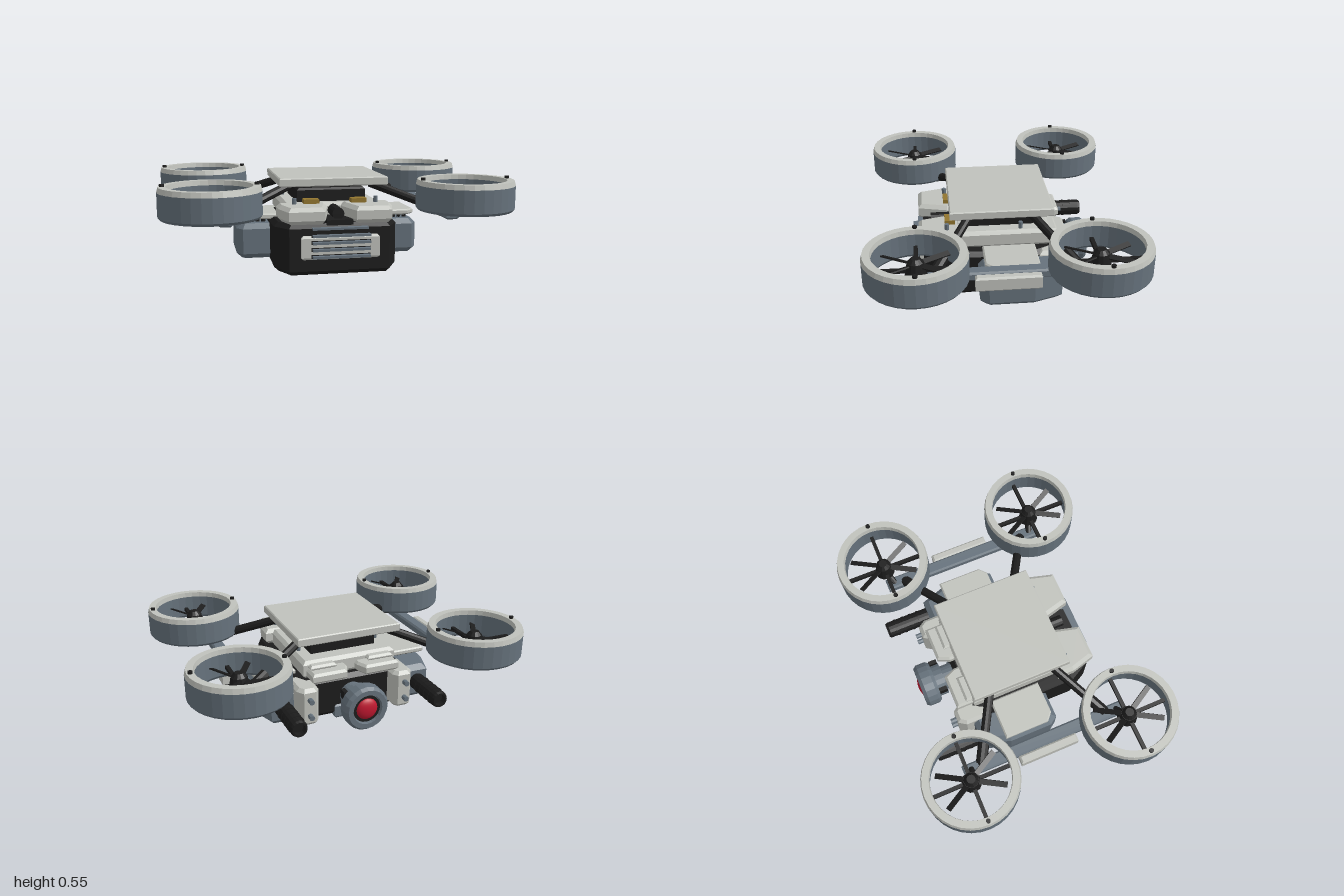
import * as THREE from 'three';

const mat = (name, color) => {
  const m = new THREE.MeshStandardMaterial({ color });
  m.name = name;
  return m;
};

export function createModel() {
  const light = mat('pale grey', 0xc0c2bc), steel = mat('blue grey', 0x66727c);
  const black = mat('black', 0x1c1c1c), brass = mat('brass', 0x93762f), red = mat('red', 0xc01830);
  const model = new THREE.Group();
  model.name = 'quadDrone';

  // faceted mesh from any geometry
  const add = (parent, name, geo, material, x = 0, y = 0, z = 0) => {
    const flat = geo.index ? geo.toNonIndexed() : geo;
    flat.computeVertexNormals();
    const m = new THREE.Mesh(flat, material);
    m.name = name;
    m.position.set(x, y, z);
    parent.add(m);
    return m;
  };
  const box = (w, h, d) => new THREE.BoxGeometry(w, h, d);
  const cyl = (r0, r1, h, n = 16) => new THREE.CylinderGeometry(r0, r1, h, n);
  const cylZ = (r0, r1, h, n) => cyl(r0, r1, h, n).rotateX(Math.PI / 2);

  // plan outline of [x, z] points raised from y0 to y1 with chamfered rims
  const slab = (pts, y0, y1, b) => {
    const shape = new THREE.Shape(pts.map(([x, z]) => new THREE.Vector2(x, -z)));
    return new THREE.ExtrudeGeometry(shape, {
      depth: y1 - y0 - 2 * b, bevelEnabled: b > 0, bevelThickness: b, bevelSize: b, bevelOffset: -b, bevelSegments: 1,
    }).rotateX(-Math.PI / 2).translate(0, y0 + b, 0);
  };
  const rect = (x0, x1, z0, z1) => [[x0, z0], [x1, z0], [x1, z1], [x0, z1]];
  const flip = (pts, s) => pts.map(([x, z]) => [s * x, z]);
  // rod between two points
  const rod = (parent, name, a, b, r, material, n = 10) => {
    const d = b.clone().sub(a);
    const m = add(parent, name, cyl(r, r, d.length(), n), material);
    m.position.copy(a).add(b).multiplyScalar(0.5);
    m.quaternion.setFromUnitVectors(new THREE.Vector3(0, 1, 0), d.normalize());
  };

  // hull, thinning slightly toward the rear
  const hull = slab([[-0.29, 0.45], [0.29, 0.45], [0.36, 0.32], [0.36, -0.2], [0.29, -0.33],
    [-0.29, -0.33], [-0.36, -0.2], [-0.36, 0.32]], 0, 0.295, 0.025);
  const p = hull.attributes.position;
  for (let i = 0; i < p.count; i++) {
    const t = (0.45 - p.getZ(i)) / 0.78;
    p.setY(i, p.getY(i) < 0.15 ? p.getY(i) + 0.03 * t : p.getY(i) - 0.02 * t);
  }
  add(model, 'hull', hull, black);

  // front grille
  const grille = new THREE.Group();
  grille.name = 'grille';
  model.add(grille);
  add(grille, 'grilleFrame', slab(rect(-0.225, 0.225, 0.43, 0.475), 0.095, 0.23, 0.012), light);
  for (let i = 0; i < 4; i++) {
    add(grille, 'grilleSlot', box(0.34, 0.02, 0.006), black, 0, 0.115 + i * 0.04, 0.477);
    add(grille, 'grilleSlat', box(0.33, 0.013, 0.03), steel, 0, 0.115 + i * 0.04, 0.495);
  }

  // deck, core and roof plate
  add(model, 'deck', slab(rect(-0.29, 0.29, -0.3, 0.26), 0.28, 0.385, 0.02), light);
  add(model, 'core', slab(rect(-0.205, 0.205, -0.2, 0.2), 0.37, 0.465, 0.012), black);
  add(model, 'roofPlate', slab(rect(-0.32, 0.32, -0.305, 0.295), 0.485, 0.535, 0.006), light);
  for (const x of [-0.15, 0.15]) for (const z of [-0.15, 0.15]) {
    add(model, 'roofPost', cyl(0.014, 0.014, 0.05, 8), black, x, 0.47, z);
  }

  // front nose sensor
  add(model, 'noseChannel', box(0.15, 0.03, 0.2), black, 0, 0.3, 0.35);
  add(model, 'noseSensor', cylZ(0.035, 0.035, 0.2, 12), black, 0, 0.342, 0.3);
  add(model, 'noseLip', box(0.32, 0.012, 0.04), steel, 0, 0.27, 0.46);

  for (const s of [1, -1]) {
    const side = new THREE.Group();
    side.name = s > 0 ? 'leftSide' : 'rightSide';
    model.add(side);

    // front shoulder blocks
    add(side, 'shoulder', slab(flip([[0.045, 0.23], [0.335, 0.23], [0.335, 0.33], [0.295, 0.475],
      [0.09, 0.475], [0.045, 0.3]], s), 0.295, 0.39, 0.022), light);
    add(side, 'brassContact', box(0.09, 0.03, 0.06), brass, s * 0.14, 0.4, 0.29);
    add(side, 'deckPin', cyl(0.013, 0.013, 0.05, 8), steel, s * 0.24, 0.4, 0.31);
    add(side, 'deckPin', cyl(0.013, 0.013, 0.05, 8), steel, s * 0.25, 0.4, -0.12);

    // rear deck panels
    add(side, 'rearPanel', slab(flip([[0.03, -0.2], [0.27, -0.2], [0.27, -0.4], [0.06, -0.4], [0.03, -0.33]], s),
      0.285, 0.345, 0.014), light);
    add(side, 'rearPanelCap', slab(flip(rect(0.1, 0.26, -0.34, -0.2), s), 0.34, 0.37, 0.012), light);

    // side pod with raised cover
    add(side, 'sidePod', slab(flip([[0.33, 0.14], [0.52, 0.14], [0.555, 0.09], [0.555, -0.17],
      [0.5, -0.335], [0.33, -0.335]], s), 0.04, 0.25, 0.03), steel);
    add(side, 'podCover', slab(flip([[0.3, 0.11], [0.5, 0.11], [0.545, 0.07], [0.545, -0.2], [0.3, -0.2]], s),
      0.272, 0.305, 0.008), light);
    for (let i = 0; i < 4; i++) for (const z of [0.05, -0.14]) {
      add(side, 'podSpacer', cyl(0.013, 0.013, 0.04, 8), black, s * (0.39 + i * 0.035), 0.258, z);
    }

    // rear bracket with bolts
    add(side, 'rearBracket', slab(flip([[0.235, -0.22], [0.365, -0.22], [0.365, -0.38], [0.335, -0.425],
      [0.26, -0.425], [0.235, -0.39]], s), 0.045, 0.275, 0.02), light);
    for (const y of [0.11, 0.21]) add(side, 'bracketBolt', cylZ(0.016, 0.016, 0.05, 8), steel, s * 0.3, y, -0.435);

    // exhaust with a darker, hollow end
    add(side, 'exhaust', new THREE.LatheGeometry([[0.001, 0], [0.05, 0], [0.05, 0.32], [0.044, 0.335],
      [0.034, 0.335], [0.034, 0.3], [0.001, 0.3]].map(([r, h]) => new THREE.Vector2(r, h)), 16)
      .rotateX(-Math.PI / 2), black, s * 0.435, 0.15, -0.28);
    for (let i = 0; i < 4; i++) add(side, 'exhaustRib', cylZ(0.053, 0.053, 0.012, 16), black, s * 0.435, 0.15, -0.4 - i * 0.05);

    // rail and outer guard
    add(side, 'rail', slab(flip(rect(0.605, 0.68, -0.51, 0.51), s), 0.305, 0.355, 0.01), steel);
    add(side, 'railGuard', slab(flip(rect(0.68, 0.73, -0.18, 0.18), s), 0.265, 0.35, 0.01), light);

    // arms and rotors
    for (const f of [1, -1]) {
      const cx = s * 0.72, cz = f * 0.49;
      const v = (x, y, z) => new THREE.Vector3(s * x, y, f * z);
      rod(side, 'arm', v(0.24, 0.485, 0.17), v(0.64, 0.335, 0.4), 0.026, black);
      rod(side, 'armCollar', v(0.53, 0.377, 0.337), v(0.63, 0.339, 0.394), 0.033, black);
      rod(side, 'hubStay', v(0.64, 0.34, 0.46), v(0.72, 0.4, 0.49), 0.02, black);

      const rotor = new THREE.Group();
      rotor.name = 'rotor';
      rotor.position.set(cx, 0, cz);
      side.add(rotor);
      const ring = (name, pts, m) => add(rotor, name,
        new THREE.LatheGeometry(pts.map(([r, y]) => new THREE.Vector2(r, y)), 32), m);
      ring('duct', [[0.238, 0.505], [0.238, 0.375], [0.248, 0.36], [0.268, 0.36], [0.28, 0.375], [0.28, 0.505]], steel);
      ring('ductRim', [[0.28, 0.505], [0.272, 0.533], [0.232, 0.533], [0.228, 0.505], [0.238, 0.505]], light);
      add(rotor, 'hub', cyl(0.045, 0.06, 0.08, 12), black, 0, 0.43, 0);
      add(rotor, 'hubCap', cyl(0.025, 0.045, 0.025, 12), black, 0, 0.48, 0);
      // fixed crossbars
      add(rotor, 'crossbar', box(0.48, 0.02, 0.022), black, 0, 0.42, 0);
      add(rotor, 'crossbar', box(0.022, 0.02, 0.48), black, 0, 0.42, 0);
      // pitched blades
      for (let i = 0; i < 4; i++) {
        const pivot = new THREE.Group();
        pivot.name = 'bladePivot';
        pivot.rotation.y = 1.05 + (i % 2) * 1.04 + (i > 1 ? Math.PI : 0);
        rotor.add(pivot);
        add(pivot, 'blade', box(0.16, 0.008, 0.032).rotateX(0.4), black, 0.125, 0.455, 0);
      }
      for (const b of [-1, 1]) add(rotor, 'rimBolt', cyl(0.013, 0.013, 0.025, 8), black, b * 0.252, 0.534, 0);
    }
  }

  // rear camera
  const cam = new THREE.Group();
  cam.name = 'rearCamera';
  cam.position.set(0, 0.15, -0.3);
  model.add(cam);
  const turn = (name, pts, m) => add(cam, name, new THREE.LatheGeometry(
    pts.map(([r, h]) => new THREE.Vector2(r, h)), 20).rotateX(-Math.PI / 2), m);
  turn('cameraBarrel', [[0.075, 0], [0.075, 0.1], [0.1, 0.1], [0.1, 0.155], [0.12, 0.155], [0.135, 0.175],
    [0.135, 0.235], [0.12, 0.255], [0.09, 0.255], [0.085, 0.235], [0.001, 0.235]], steel);
  turn('lensBezel', [[0.083, 0.236], [0.083, 0.24], [0.062, 0.24]], black);
  for (const x of [-1, 1]) add(cam, 'cameraClamp', box(0.025, 0.05, 0.05), black, x * 0.092, 0.06, -0.13);
  const lens = new THREE.Mesh(new THREE.SphereGeometry(0.066, 20, 8, 0, Math.PI * 2, 0, Math.PI / 2)
    .scale(1, 0.45, 1).rotateX(-Math.PI / 2), red);
  lens.name = 'lens';
  lens.position.z = -0.236;
  cam.add(lens);
  add(model, 'cameraMount', slab(rect(-0.11, 0.11, -0.34, -0.24), 0.005, 0.1, 0.015), steel);

  return model;
}
